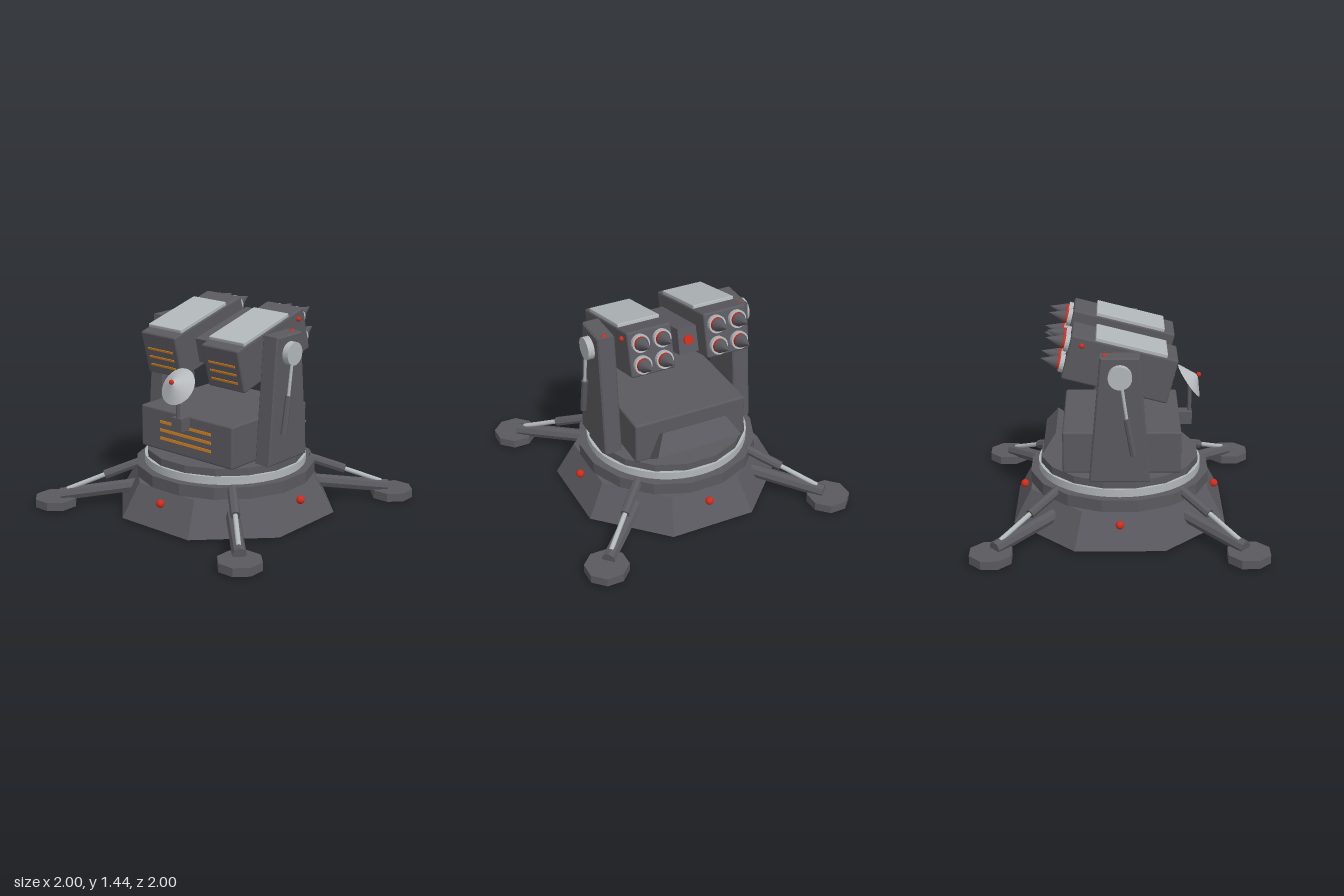
import * as THREE from 'three';
import { RoundedBoxGeometry } from 'three/addons/geometries/RoundedBoxGeometry.js';

const mat = (name, color) => {
  const m = new THREE.MeshStandardMaterial({ color });
  m.name = name;
  return m;
};

export function createModel() {
  const dark = mat('gunmetal', 0x5a595f);
  const light = mat('steel', 0xb2b7ba);
  const red = mat('signal red', 0xcf2c1c);
  const orange = mat('vent orange', 0xd5821f);
  const dishMat = mat('dish steel', 0xb8bcbf);
  dishMat.side = THREE.DoubleSide;

  const model = new THREE.Group();
  model.name = 'missileTurret';

  const add = (parent, name, geo, material, x = 0, y = 0, z = 0) => {
    const m = new THREE.Mesh(geo, material);
    m.name = name;
    m.position.set(x, y, z);
    parent.add(m);
    return m;
  };
  const group = (parent, name) => {
    const g = new THREE.Group();
    g.name = name;
    parent.add(g);
    return g;
  };
  const flat = (geo) => {
    const g = geo.index ? geo.toNonIndexed() : geo;
    g.computeVertexNormals();
    return g;
  };
  const rounded = (w, h, d, r = 0.015) => new RoundedBoxGeometry(w, h, d, 2, r);
  const ball = (parent, name, r, x, y, z) =>
    add(parent, name, new THREE.SphereGeometry(r, 16, 12), red, x, y, z);
  // Faceted drum whose flats face the axes, from y0 to y1
  const drum = (parent, name, rTop, rBottom, y0, y1, sides, material = dark) =>
    add(parent, name, flat(new THREE.CylinderGeometry(rTop, rBottom, y1 - y0, sides).rotateY(Math.PI / sides)),
      material, 0, (y0 + y1) / 2, 0);
  // Rod between two points
  const rod = (parent, name, a, b, r, material, sides = 12, faceted = false) => {
    const p = new THREE.Vector3(...a), q = new THREE.Vector3(...b);
    const dir = q.clone().sub(p);
    const geo = new THREE.CylinderGeometry(r, r, dir.length(), sides);
    const m = add(parent, name, faceted ? flat(geo) : geo, material);
    m.position.copy(p).add(q).multiplyScalar(0.5);
    m.quaternion.setFromUnitVectors(new THREE.Vector3(0, 1, 0), dir.normalize());
    return m;
  };

  // Base and turntable
  const base = group(model, 'base');
  drum(base, 'basePlinth', 0.67, 0.803, 0.012, 0.25, 8);
  drum(base, 'baseRing', 0.638, 0.638, 0.25, 0.335, 16);
  add(base, 'bearingRing', new THREE.CylinderGeometry(0.575, 0.575, 0.06, 48), light, 0, 0.36, 0);
  drum(base, 'turntable', 0.562, 0.562, 0.385, 0.443, 16);
  for (let i = 0; i < 4; i++) {
    const a = (i * Math.PI) / 2;
    ball(base, 'baseLight', 0.029, 0.68 * Math.sin(a), 0.178, 0.68 * Math.cos(a));
  }

  // Four diagonal stabiliser legs, each built along +z
  for (let i = 0; i < 4; i++) {
    const leg = group(model, 'leg');
    leg.rotation.y = Math.PI / 4 + (i * Math.PI) / 2;
    rod(leg, 'legBeam', [0, 0.15, 0.6], [0, 0.085, 1.18], 0.048, dark, 8, true);
    rod(leg, 'legCylinder', [0, 0.32, 0.6], [0, 0.226, 0.86], 0.034, dark, 8, true);
    rod(leg, 'legRod', [0, 0.235, 0.84], [0, 0.125, 1.13], 0.017, light);
    drum(leg, 'footPad', 0.152, 0.152, 0.012, 0.072, 8).position.z = 1.213;
    drum(leg, 'footStud', 0.03, 0.03, 0, 0.02, 8).position.z = 1.15;
  }

  // Body housing with front vents
  const body = group(model, 'body');
  add(body, 'housing', rounded(0.84, 0.302, 0.81), dark, 0, 0.594, 0.015);
  for (const y of [0.655, 0.595, 0.535])
    add(body, 'housingVent', new THREE.BoxGeometry(0.47, 0.02, 0.008), orange, 0, y, 0.422);

  // Tapered hatch leaning out of the back
  const hatchShape = new THREE.Shape();
  hatchShape.moveTo(-0.32, 0);
  hatchShape.lineTo(0.32, 0);
  hatchShape.lineTo(0.24, 0.155);
  hatchShape.lineTo(-0.24, 0.155);
  const hatch = add(body, 'rearHatch',
    new THREE.ExtrudeGeometry(hatchShape, { depth: 0.16, bevelEnabled: false }).translate(0, 0, -0.16),
    dark, 0, 0.545, -0.53);
  hatch.rotation.order = 'YXZ';
  hatch.rotation.set(-0.62, Math.PI, 0);

  // Support arms, joints and elevation pistons
  const armShape = new THREE.Shape();
  armShape.moveTo(-0.197, 0.45);
  armShape.lineTo(0.197, 0.45);
  armShape.lineTo(0.122, 1.315);
  armShape.lineTo(-0.122, 1.315);
  const armGeo = new THREE.ExtrudeGeometry(armShape, {
    depth: 0.107, bevelThickness: 0.01, bevelSize: 0.01, bevelSegments: 1,
  });
  armGeo.translate(0, 0, -0.0535).rotateY(Math.PI / 2);
  for (const s of [-1, 1]) {
    const arm = group(model, s > 0 ? 'leftArm' : 'rightArm');
    add(arm, 'armPlate', armGeo, dark, s * 0.504, 0, 0);
    ball(arm, 'armLight', 0.02, s * 0.508, 1.318, -0.1);
    add(arm, 'jointCap', new THREE.CylinderGeometry(0.08, 0.08, 0.05, 24).rotateZ(Math.PI / 2),
      light, s * 0.588, 1.2, 0);
    rod(arm, 'pistonRod', [s * 0.598, 1.17, 0.008], [s * 0.598, 0.88, 0.05], 0.011, light);
    rod(arm, 'pistonCylinder', [s * 0.598, 0.915, 0.045], [s * 0.598, 0.65, 0.093], 0.023, dark, 8, true);
  }

  // Tilted launcher turning on the axle
  const launcher = group(model, 'launcher');
  launcher.position.set(0, 1.2, 0);
  launcher.rotation.x = 0.25;
  add(launcher, 'axle', new THREE.CylinderGeometry(0.055, 0.055, 0.92, 20).rotateZ(Math.PI / 2), dark);
  for (const s of [-1, 1]) {
    const pod = group(launcher, s > 0 ? 'leftPod' : 'rightPod');
    pod.position.x = s * 0.28;
    add(pod, 'podBox', rounded(0.32, 0.315, 0.73), dark);
    add(pod, 'topPanel', rounded(0.305, 0.03, 0.49, 0.006), light, 0, 0.165, 0.04);
    for (const y of [0.036, -0.026, -0.088])
      add(pod, 'podVent', new THREE.BoxGeometry(0.23, 0.015, 0.008), orange, 0, y, 0.366);
    ball(pod, 'podLight', 0.018, s * 0.165, 0.103, -0.284);
    for (const x of [-0.078, 0.078]) for (const y of [-0.075, 0.075]) {
      const missile = group(pod, 'missile');
      missile.position.set(x, y, -0.36);
      missile.rotation.x = -Math.PI / 2;
      // Open collar, red band and pointed nose along local +y
      const collar = [[0.062, 0], [0.062, 0.035], [0.05, 0.035], [0.05, 0]].map((p) => new THREE.Vector2(...p));
      add(missile, 'tubeCollar', flat(new THREE.LatheGeometry(collar, 20)), light);
      add(missile, 'missileBand', new THREE.CylinderGeometry(0.046, 0.046, 0.05, 20), red, 0, 0.025, 0);
      add(missile, 'missileNose', new THREE.ConeGeometry(0.047, 0.117, 12), dark, 0, 0.109, 0);
    }
  }

  // Central sensor, narrower at the back and top
  const sensorGeo = new THREE.BoxGeometry(0.17, 0.18, 0.545);
  const sp = sensorGeo.attributes.position;
  for (let i = 0; i < sp.count; i++)
    sp.setX(i, sp.getX(i) * (sp.getZ(i) < 0 ? 0.84 : 1) * (sp.getY(i) > 0 ? 0.95 : 1));
  add(launcher, 'sensorBox', flat(sensorGeo), dark, 0, 0, -0.067);
  add(launcher, 'sensorLens', new THREE.CylinderGeometry(0.033, 0.033, 0.02, 20).rotateX(Math.PI / 2),
    red, 0, 0.005, -0.346);

  // Dish antenna on a post at the front
  const antenna = group(model, 'antenna');
  add(antenna, 'antennaBracket', new THREE.BoxGeometry(0.09, 0.09, 0.1), dark, 0, 0.7, 0.46);
  add(antenna, 'antennaPost', new THREE.CylinderGeometry(0.014, 0.014, 0.2, 12), dark, 0, 0.835, 0.493);
  const dish = add(antenna, 'dish', new THREE.ConeGeometry(0.135, 0.075, 28, 1, true).translate(0, 0.0375, 0),
    dishMat, 0, 0.965, 0.487);
  dish.rotation.x = 0.96;
  ball(antenna, 'dishReceiver', 0.017, 0, 1.01, 0.555);

  return model;
}
